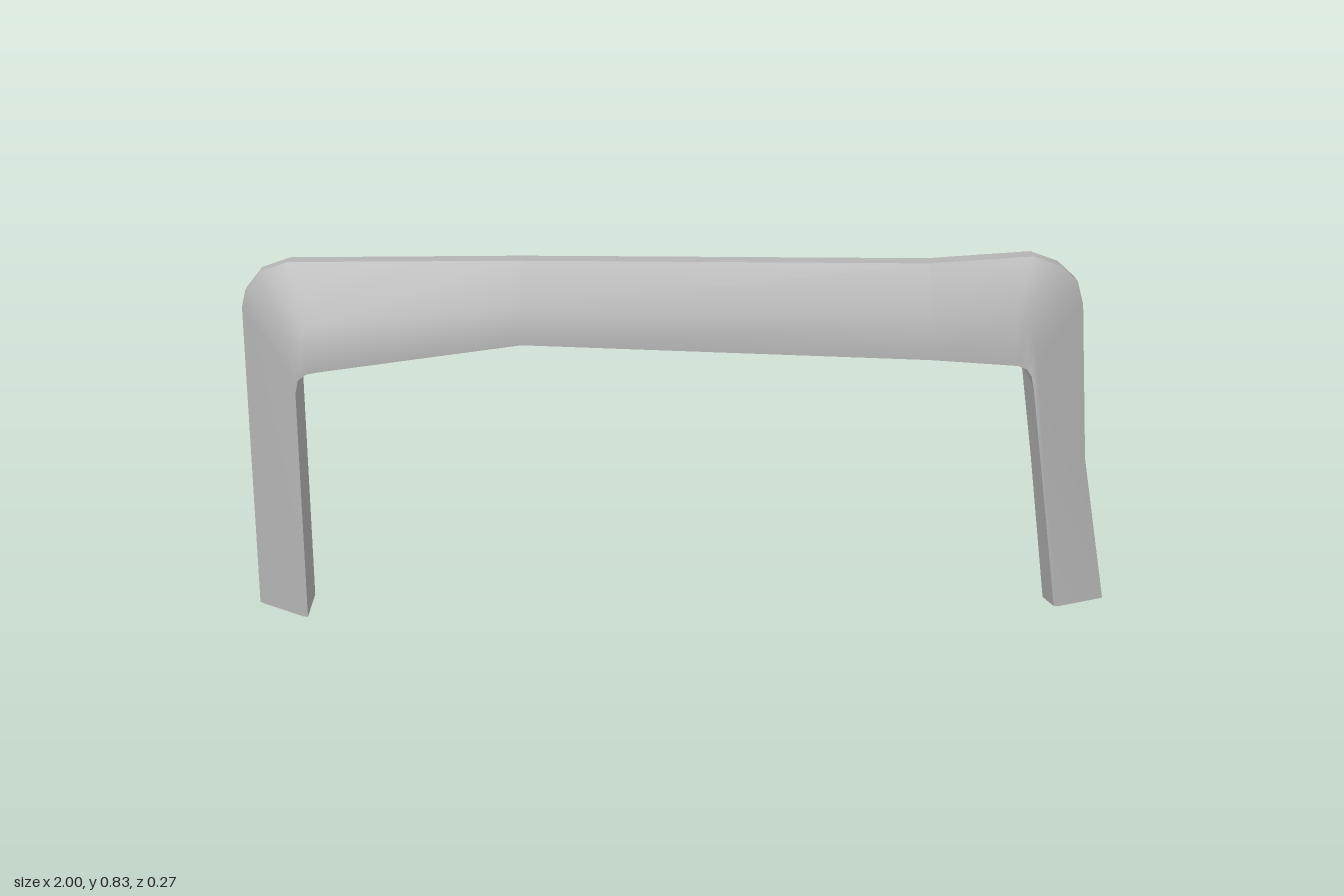
import * as THREE from 'three';

// Stations along the bar: corner points of the section at each one.
// [outer x, y, back z, front z], [ridge x, y, z], [inner x, y, front z, back z]
const stations = [
  // left leg
  [[-1, 0, -0.105, -0.06], [-0.885, 0, 0.033], [-0.875, 0, 0.035, -0.105]],
  [[-1, 0.73, -0.105, -0.06], [-0.884, 0.6, 0.033], [-0.875, 0.55, 0.035, -0.105]],
  // left corner
  [[-0.99, 0.77, -0.105, -0.06], [-0.875, 0.66, 0.033], [-0.868, 0.58, 0.035, -0.105]],
  [[-0.955, 0.813, -0.105, -0.06], [-0.85, 0.70, 0.033], [-0.85, 0.595, 0.035, -0.106]],
  [[-0.89, 0.835, -0.106, -0.06], [-0.8, 0.715, 0.03], [-0.82, 0.6, 0.033, -0.107]],
  // handrail
  [[-0.36, 0.834, -0.11, -0.061], [-0.36, 0.738, 0.003], [-0.36, 0.652, 0.005, -0.133]],
  [[0.58, 0.82, -0.115, -0.064], [0.58, 0.71, 0.013], [0.58, 0.612, 0.017, -0.12]],
  // right corner
  [[0.82, 0.835, -0.115, -0.064], [0.77, 0.715, 0.019], [0.78, 0.598, 0.023, -0.116]],
  [[0.885, 0.812, -0.115, -0.064], [0.8, 0.69, 0.02], [0.8, 0.59, 0.027, -0.116]],
  [[0.925, 0.775, -0.115, -0.064], [0.813, 0.65, 0.022], [0.81, 0.575, 0.033, -0.115]],
  [[0.94, 0.72, -0.114, -0.062], [0.824, 0.6, 0.03], [0.815, 0.55, 0.039, -0.113]],
  // right leg, splayed out and forward
  [[0.955, 0.36, -0.062, -0.013], [0.843, 0.36, 0.073], [0.836, 0.36, 0.075, -0.07]],
];

// Section as a closed ring: outer back, outer front, ridge, inner front, inner back
const rings = stations.map(([o, m, i]) => [
  [o[0], o[1], o[2]], [o[0], o[1], o[3]], m,
  [i[0], i[1], i[2]], [i[0], i[1], i[3]],
]);
// slanted open foot of the right leg
rings.push([
  [1, 0.025, 0.003], [1, 0.035, 0.057], [0.88, 0.044, 0.128],
  [0.87, 0.047, 0.133], [0.87, 0.015, 0],
]);

// Smooth strip running the length of the bar through the chosen ring corners
function strip(columns) {
  const n = columns.length, pos = [], index = [];
  rings.forEach((ring, r) => {
    columns.forEach((c) => pos.push(...ring[c]));
    if (r === rings.length - 1) return;
    for (let k = 0; k < n - 1; k++) {
      const a = r * n + k, b = a + 1, c = a + n, d = c + 1;
      index.push(a, b, c, b, d, c);
    }
  });
  const g = new THREE.BufferGeometry();
  g.setAttribute('position', new THREE.Float32BufferAttribute(pos, 3));
  g.setIndex(index);
  g.computeVertexNormals();
  return g;
}

export function createModel() {
  const group = new THREE.Group();
  group.name = 'archedBar';
  const grey = new THREE.MeshStandardMaterial({ color: 0xb4b4b4, side: THREE.DoubleSide });
  grey.name = 'grey';
  // separate strips keep the long edges sharp; the front ridge stays soft
  const faces = { outerFace: [0, 1], frontFace: [1, 2, 3], innerFace: [3, 4], backFace: [4, 0] };
  for (const [name, columns] of Object.entries(faces)) {
    const mesh = new THREE.Mesh(strip(columns), grey);
    mesh.name = name;
    group.add(mesh);
  }
  return group;
}
